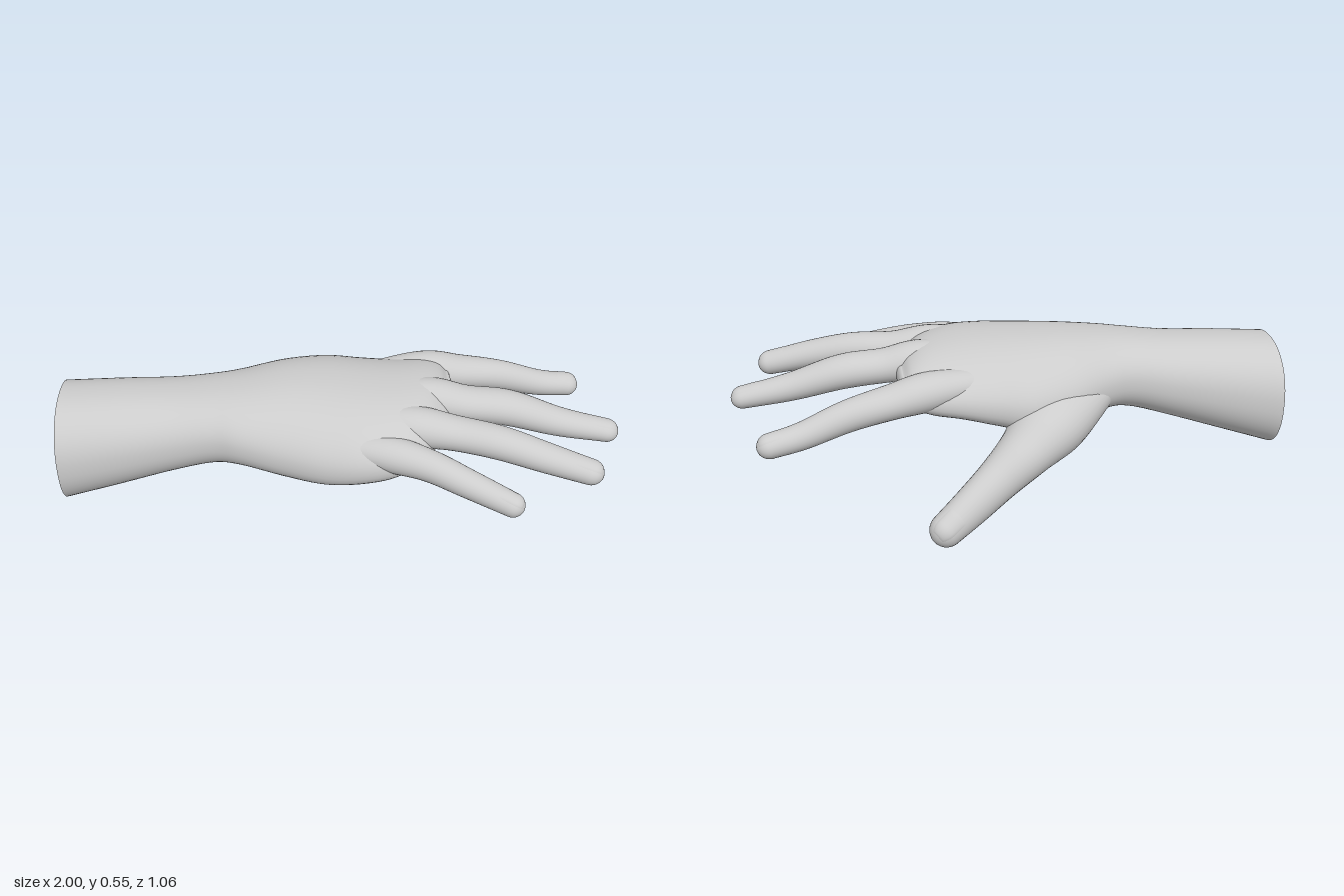
import * as THREE from 'three';

const CAP = 0.25; // share of t after the last section used for the rounded tip

// Smooth skin through elliptical sections [x, y, z, halfWidth, halfHeight, arch],
// returned as a function (t, angle, swell) -> point, with a rounded tip at t > 1.
function makeSkin(sections, { axis = null, square = 1, capLength = null } = {}) {
  const spline = pts => new THREE.CatmullRomCurve3(pts, false, 'catmullrom', 0.5);
  const path = spline(sections.map(s => new THREE.Vector3(s[0], s[1], s[2])));
  const size = spline(sections.map(s => new THREE.Vector3(s[3], s[4], s[5] || 0)));
  const up = new THREE.Vector3(0, 1, 0);
  const bulge = v => Math.sign(v) * Math.pow(Math.abs(v), square);
  return (t, angle, swell = 1) => {
    const k = Math.min(t, 1);
    const phi = Math.max(0, (t - 1) / CAP) * Math.PI / 2;
    const dir = axis ? axis.clone() : path.getTangent(k);
    const side = dir.clone().cross(up).normalize();
    const top = side.clone().cross(dir).normalize();
    const s = size.getPoint(k);
    const shrink = Math.cos(phi) * swell;
    const c = Math.cos(angle), n = Math.sin(angle);
    const point = path.getPoint(k)
      .addScaledVector(dir, Math.sin(phi) * (capLength ?? s.x) * swell)
      .addScaledVector(side, bulge(c) * s.x * shrink)
      .addScaledVector(top, bulge(n) * s.y * shrink);
    point.y -= s.z * c * c;
    return point;
  };
}

// Grid of quads over point(u, v); wrap joins the last column to the first
function gridGeometry(point, rows, cols, wrap) {
  const positions = [], index = [];
  const width = wrap ? cols : cols + 1;
  for (let i = 0; i <= rows; i++) {
    for (let j = 0; j < width; j++) positions.push(...point(i / rows, j / cols).toArray());
  }
  for (let i = 0; i < rows; i++) {
    for (let j = 0; j < cols; j++) {
      const a = i * width + j, b = i * width + (j + 1) % width;
      index.push(a, a + width, b, b, a + width, b + width);
    }
  }
  const geometry = new THREE.BufferGeometry();
  geometry.setAttribute('position', new THREE.Float32BufferAttribute(positions, 3));
  geometry.setIndex(index);
  geometry.computeVertexNormals();
  return geometry;
}

export function createModel() {
  const model = new THREE.Group();
  model.name = 'hand';
  const skinMaterial = new THREE.MeshStandardMaterial({ color: 0xcccccc, side: THREE.DoubleSide });
  skinMaterial.name = 'light grey';

  const addMesh = (parent, name, geometry) => {
    const mesh = new THREE.Mesh(geometry, skinMaterial);
    mesh.name = name;
    parent.add(mesh);
  };
  const skinGeometry = (skin, rows, cols) =>
    gridGeometry((u, v) => skin(u * (1 + CAP), v * Math.PI * 2), rows, cols, true);

  // Forearm and palm, open at the cut end: [x, yTop, yBottom, zMin, zMax, arch]
  const palm = [
    [-1, 0.47, 0.05, -0.19, 0.22, 0],
    [-0.8, 0.485, 0.12, -0.17, 0.22, 0],
    [-0.6, 0.497, 0.19, -0.147, 0.215, 0],
    [-0.45, 0.515, 0.238, -0.14, 0.225, 0],
    [-0.35, 0.527, 0.253, -0.165, 0.255, 0.01],
    [-0.2, 0.545, 0.24, -0.235, 0.3, 0.03],
    [-0.05, 0.55, 0.24, -0.27, 0.345, 0.04],
    [0.08, 0.548, 0.27, -0.25, 0.368, 0.04],
    [0.2, 0.542, 0.31, -0.235, 0.36, 0.04],
    [0.3, 0.53, 0.335, -0.23, 0.29, 0.03],
    [0.36, 0.505, 0.365, -0.215, 0.2, 0.02],
    [0.39, 0.475, 0.4, -0.18, 0.14, 0.01],
  ].map(([x, top, bottom, back, front, arch]) =>
    [x, (top + bottom) / 2, (back + front) / 2, (front - back) / 2, (top - bottom) / 2, arch]);
  const palmSkin = makeSkin(palm, { axis: new THREE.Vector3(1, 0, 0), square: 0.9, capLength: 0.02 });
  addMesh(model, 'forearmAndPalm', skinGeometry(palmSkin, 80, 64));

  // Digits from buried root to tip: [x, y, z, halfWidth, halfHeight]
  const digits = {
    thumb: { nailTurn: 0.7, sections: [
      [-0.3, 0.36, -0.05, 0.11, 0.08],
      [-0.12, 0.295, -0.2, 0.135, 0.115],
      [0, 0.235, -0.3, 0.1, 0.092],
      [0.1, 0.175, -0.36, 0.076, 0.08],
      [0.2, 0.118, -0.42, 0.064, 0.072],
      [0.3, 0.063, -0.475, 0.058, 0.06]] },
    indexFinger: { nailTurn: 0.1, sections: [
      [0.05, 0.44, -0.11, 0.05, 0.04],
      [0.3, 0.437, -0.165, 0.073, 0.068],
      [0.45, 0.415, -0.186, 0.068, 0.06],
      [0.6, 0.385, -0.205, 0.056, 0.056],
      [0.75, 0.337, -0.225, 0.05, 0.048],
      [0.863, 0.316, -0.242, 0.047, 0.043]] },
    middleFinger: { nailTurn: 0, sections: [
      [0.05, 0.46, 0.03, 0.05, 0.04],
      [0.3, 0.463, 0.045, 0.078, 0.072],
      [0.45, 0.445, 0.056, 0.071, 0.062],
      [0.6, 0.43, 0.063, 0.07, 0.062],
      [0.78, 0.38, 0.078, 0.056, 0.051],
      [0.954, 0.347, 0.088, 0.046, 0.04]] },
    ringFinger: { nailTurn: -0.1, sections: [
      [0, 0.455, 0.15, 0.05, 0.04],
      [0.24, 0.455, 0.198, 0.074, 0.07],
      [0.4, 0.44, 0.223, 0.066, 0.06],
      [0.55, 0.43, 0.265, 0.062, 0.058],
      [0.7, 0.4, 0.307, 0.056, 0.052],
      [0.855, 0.362, 0.34, 0.048, 0.044]] },
    littleFinger: { nailTurn: -0.15, sections: [
      [-0.05, 0.42, 0.24, 0.05, 0.04],
      [0.16, 0.42, 0.308, 0.064, 0.062],
      [0.3, 0.41, 0.362, 0.056, 0.055],
      [0.43, 0.378, 0.42, 0.05, 0.049],
      [0.575, 0.335, 0.478, 0.043, 0.042]] },
  };

  for (const [name, { sections, nailTurn }] of Object.entries(digits)) {
    const digit = new THREE.Group();
    digit.name = name;
    const skin = makeSkin(sections);
    addMesh(digit, name + 'Skin', skinGeometry(skin, 50, 32));

    // Nail: a thin swollen patch on top of the tip, with edges sunk in the skin
    const nail = gridGeometry((u, v) => {
      const dome = Math.pow(Math.max(0, Math.sin(u * Math.PI) * Math.sin(v * Math.PI)), 0.4);
      const angle = Math.PI / 2 + nailTurn + (v - 0.5) * 1.5;
      return skin(0.91 + u * 0.24, angle, 0.98 + 0.07 * dome);
    }, 14, 12, false);
    addMesh(digit, name + 'Nail', nail);
    model.add(digit);
  }
  return model;
}
